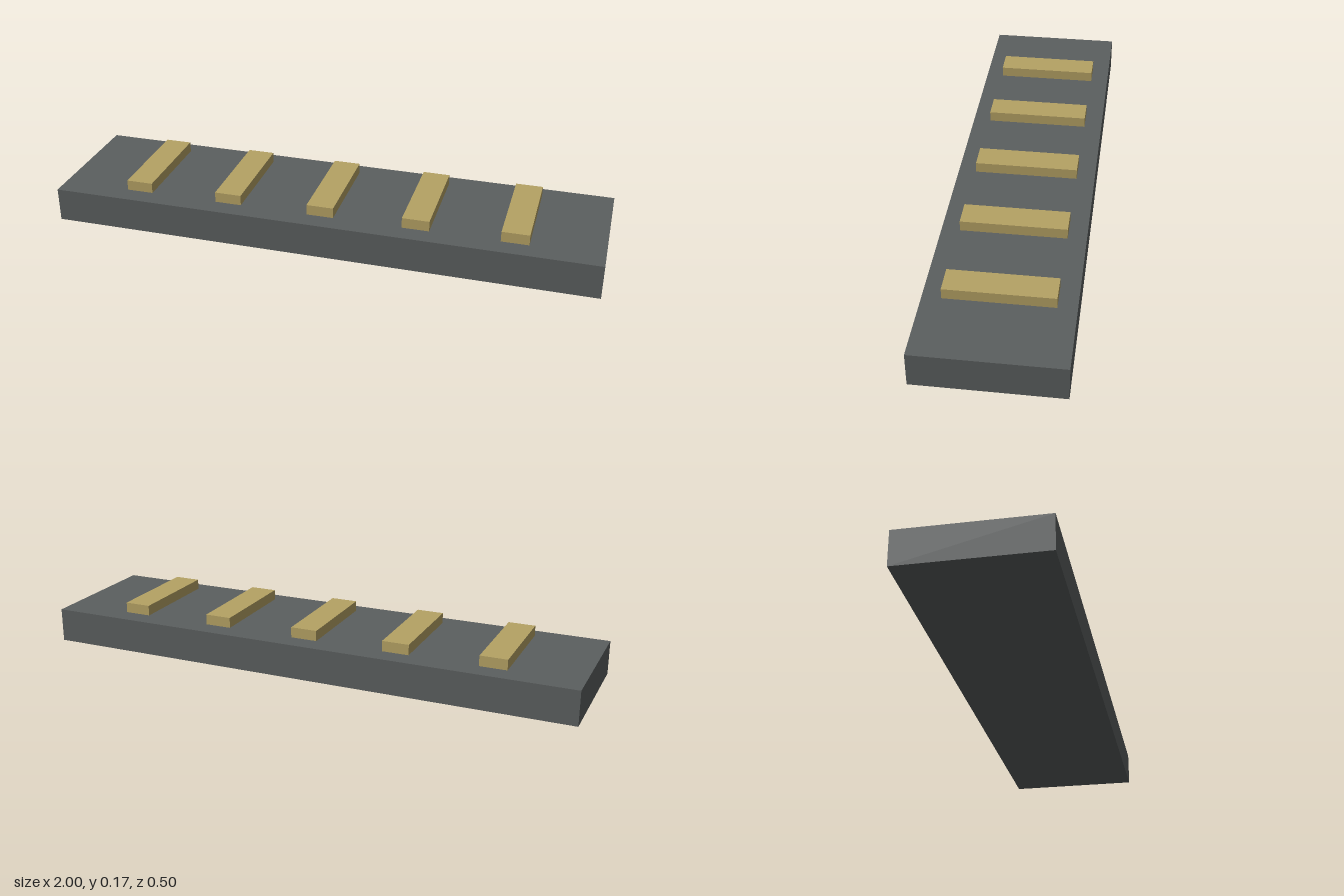
import * as THREE from 'three';

const darkGrey = new THREE.MeshStandardMaterial({ name: 'darkGrey', color: 0x5b5f5f });
const brass = new THREE.MeshStandardMaterial({ name: 'brass', color: 0xb5a264 });

function box(name, material, width, height, depth, x, bottom) {
  const mesh = new THREE.Mesh(new THREE.BoxGeometry(width, height, depth), material);
  mesh.name = name;
  mesh.position.set(x, bottom + height / 2, 0);
  return mesh;
}

export function createModel() {
  const model = new THREE.Group();
  model.name = 'slattedPlatform';

  // Long slab
  model.add(box('base', darkGrey, 2, 0.125, 0.5, 0, 0));

  // Five evenly spaced cross slats, just clear of the slab
  const slats = new THREE.Group();
  slats.name = 'slats';
  for (let i = -2; i <= 2; i++) {
    slats.add(box(`slat${i + 3}`, brass, 0.098, 0.038, 0.37, i * 0.347, 0.129));
  }
  model.add(slats);

  return model;
}
